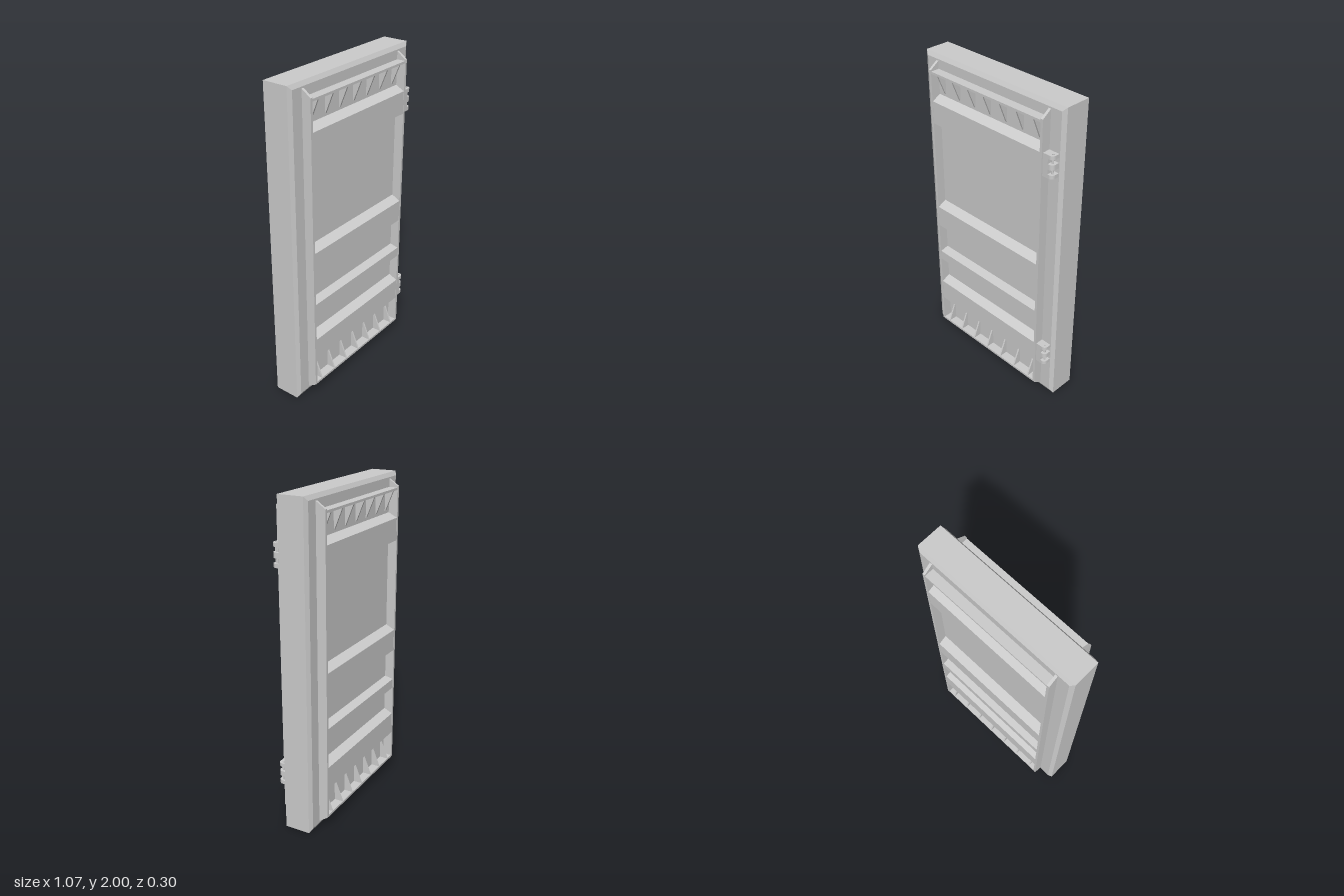
import * as THREE from 'three';

const FACE = 0.094;  // slab face
const OUT = 0.152;   // outermost depth of the raised framework
const material = new THREE.MeshStandardMaterial({ color: 0xcccccc, flatShading: true });

function addMesh(parent, name, geometry) {
  const mesh = new THREE.Mesh(geometry, material);
  mesh.name = name;
  parent.add(mesh);
  return mesh;
}

// Profile of [z, y] points, extruded along x and centred on the given x.
function prism(points, width, x = 0) {
  const shape = new THREE.Shape(points.map(([z, y]) => new THREE.Vector2(z, y)));
  const geometry = new THREE.ExtrudeGeometry(shape, { depth: width, bevelEnabled: false });
  return geometry.rotateY(-Math.PI / 2).translate(x + width / 2, 0, 0);
}

function box(x0, x1, y0, y1, z0, z1) {
  return new THREE.BoxGeometry(x1 - x0, y1 - y0, z1 - z0)
    .translate((x0 + x1) / 2, (y0 + y1) / 2, (z0 + z1) / 2);
}

// Door leaf with chamfered edges on both faces.
function slab() {
  const w = 0.512, y0 = 0.025, y1 = 1.975;
  const shape = new THREE.Shape([[-w, y0], [w, y0], [w, y1], [-w, y1]].map(p => new THREE.Vector2(...p)));
  return new THREE.ExtrudeGeometry(shape, {
    depth: 0.16, bevelEnabled: true, bevelSize: 0.025, bevelThickness: 0.014, bevelSegments: 1,
  }).translate(0, 0, -0.08);
}

// Raised framework of one face.
function createFramework() {
  const group = new THREE.Group();
  const base = FACE - 0.01;

  // Side rails with sloping ends
  for (const side of [-1, 1]) {
    addMesh(group, 'sideRail', prism([
      [base, 0.035], [FACE, 0.035], [OUT, 0.075], [OUT, 1.925], [FACE, 1.965], [base, 1.965],
    ], 0.016, side * 0.431));
  }

  // Cross beams: bottom, lower front edge, upper front edge, top
  const beams = [
    [1.565, 1.592, 1.733, 1.762],
    [0.835, 0.863, 1.003, 1.032],
    [0.58, 0.595, 0.657, 0.67],
    [0.235, 0.263, 0.405, 0.432],
  ];
  for (const [a, b, c, d] of beams) {
    addMesh(group, 'crossBeam', prism([
      [base, a], [FACE, a], [0.15, b], [0.15, c], [FACE, d], [base, d],
    ], 0.85));
  }

  // End shelves, each braced by seven triangular gussets
  const shelves = [
    { name: 'top', y0: 1.903, y1: 1.917, root: 1.903, tip: 1.78 },
    { name: 'bottom', y0: 0.073, y1: 0.087, root: 0.087, tip: 0.21 },
  ];
  for (const { name, y0, y1, root, tip } of shelves) {
    addMesh(group, name + 'Shelf', box(-0.425, 0.425, y0, y1, base, OUT - 0.001));
    for (let i = -3; i <= 3; i++) {
      addMesh(group, name + 'Gusset', prism([
        [base, root], [0.148, root], [FACE + 0.004, tip], [base, tip],
      ], 0.01, i * 0.124));
    }
  }
  return group;
}

// Leaf with three rounded knuckles on a pin.
function createHinge(y) {
  const hinge = new THREE.Group();
  hinge.name = 'hinge';
  const z0 = 0.09, z1 = 0.144, r = 0.024, x1 = 0.508;
  addMesh(hinge, 'hingePlate', box(0.435, 0.474, y - 0.069, y + 0.069, z0, z1));
  const knuckle = new THREE.Shape();
  knuckle.moveTo(0.47, z0);
  knuckle.lineTo(x1, z0);
  knuckle.lineTo(x1, z1 - r);
  knuckle.absarc(x1 - r, z1 - r, r, 0, Math.PI / 2, false);
  knuckle.lineTo(0.47, z1);
  for (const [low, high] of [[-0.069, -0.046], [-0.016, 0.016], [0.046, 0.069]]) {
    const geometry = new THREE.ExtrudeGeometry(knuckle, { depth: high - low, bevelEnabled: false, curveSegments: 6 });
    geometry.rotateX(Math.PI / 2).translate(0, y + high, 0);
    addMesh(hinge, 'hingeKnuckle', geometry);
  }
  addMesh(hinge, 'hingePin', new THREE.CylinderGeometry(0.007, 0.007, 0.148, 12).translate(0.488, y, 0.12));
  return hinge;
}

export function createModel() {
  const model = new THREE.Group();
  model.name = 'door';
  addMesh(model, 'doorSlab', slab());

  // Identical framework on front and back
  const front = createFramework();
  front.name = 'frontFramework';
  const back = createFramework();
  back.name = 'backFramework';
  back.rotation.y = Math.PI;
  model.add(front, back);

  for (const y of [1.665, 0.335]) model.add(createHinge(y));
  return model;
}
